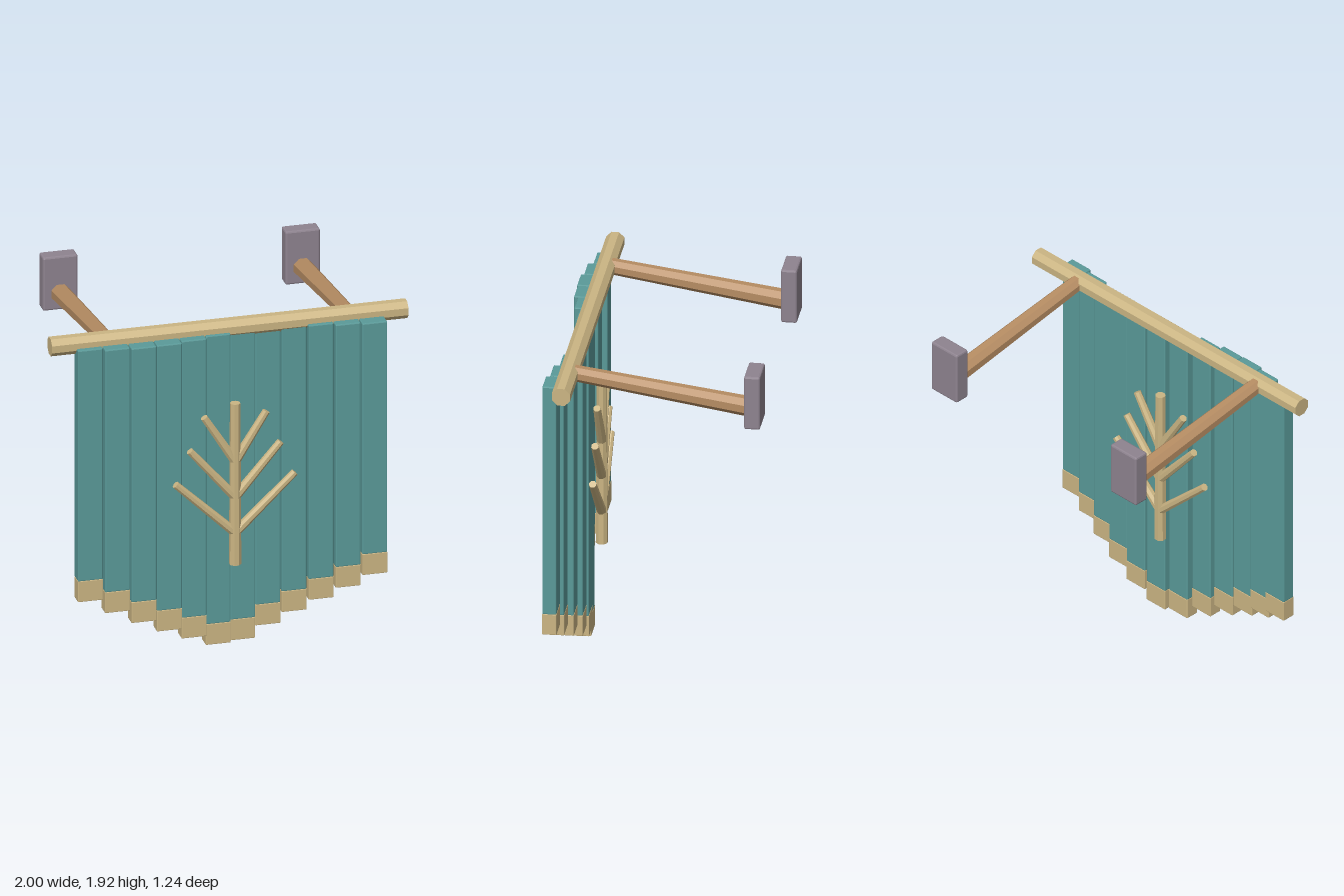
import * as THREE from 'three';
import { RoundedBoxGeometry } from 'three/addons/geometries/RoundedBoxGeometry.js';

const material = (name, color) => {
  const m = new THREE.MeshStandardMaterial({ color, flatShading: true });
  m.name = name;
  return m;
};

export function createModel() {
  const model = new THREE.Group();
  model.name = 'hangingBanner';
  const teal = material('tealCloth', 0x5a9a99);
  const tan = material('paleWood', 0xcbb583);
  const wood = material('brownWood', 0xb68d63);
  const stone = material('greyStone', 0x8e838f);

  // Tapered eight-sided pole between two points
  function pole(name, from, to, r0, r1, mat, parent) {
    const a = new THREE.Vector3(...from), b = new THREE.Vector3(...to);
    const dir = b.clone().sub(a);
    const geo = new THREE.CylinderGeometry(r1, r0, dir.length(), 8);
    geo.rotateY(Math.PI / 8);
    const mesh = new THREE.Mesh(geo, mat);
    mesh.name = name;
    mesh.position.copy(a).add(b).multiplyScalar(0.5);
    mesh.quaternion.setFromUnitVectors(new THREE.Vector3(0, 1, 0), dir.normalize());
    parent.add(mesh);
  }

  // Box with narrow chamfers
  function block(name, size, pos, bevel, mat, parent) {
    const mesh = new THREE.Mesh(new RoundedBoxGeometry(...size, 1, bevel), mat);
    mesh.name = name;
    mesh.position.set(...pos);
    parent.add(mesh);
  }

  // Cross rail
  pole('rail', [-1, 1.84, 0.435], [1, 1.84, 0.435], 0.054, 0.054, tan, model);

  // Wall brackets
  for (const s of [-1, 1]) {
    const bracket = new THREE.Group();
    bracket.name = s > 0 ? 'leftBracket' : 'rightBracket';
    pole('arm', [s * 0.68, 1.705, -0.55], [s * 0.68, 1.84, 0.42], 0.056, 0.045, wood, bracket);
    block('wallPlate', [0.195, 0.315, 0.088], [s * 0.68, 1.768, -0.578], 0.01, stone, bracket);
    model.add(bracket);
  }

  // Rippling cloth strips, longest in the middle, each with a pale hem
  const count = 12, pitch = 0.144, top = 1.83, hem = 0.118, depth = 0.077;
  const cloth = new THREE.Group();
  cloth.name = 'cloth';
  for (let i = 0; i < count; i++) {
    const offset = i - (count - 1) / 2;
    const x = offset * pitch;
    const z = 0.475 + 0.048 * Math.sin(i * 0.68);
    const bottom = 0.005 + (Math.abs(offset) - 0.5) * 0.068;
    const length = top - bottom - hem;
    block('strip', [pitch - 0.004, length, depth], [x, top - length / 2, z], 0.006, teal, cloth);
    block('hem', [pitch - 0.003, hem + 0.006, depth + 0.002], [x, bottom + hem / 2, z], 0.004, tan, cloth);
  }
  model.add(cloth);

  // Branching tree emblem on both faces: [root height, tip x, tip height]
  const branches = [[0.69, 0.335, 1.01], [0.9, 0.255, 1.2], [1.11, 0.175, 1.39]];
  for (const z of [0.586, 0.36]) {
    const tree = new THREE.Group();
    tree.name = z > 0.5 ? 'frontTree' : 'backTree';
    pole('trunk', [0, 0.505, z], [0, 1.457, z], 0.034, 0.029, tan, tree);
    for (const [y0, x, y1] of branches) {
      for (const s of [-1, 1]) {
        pole('branch', [0, y0, z], [s * x, y1, z], 0.027, 0.021, tan, tree);
      }
    }
    model.add(tree);
  }
  return model;
}
